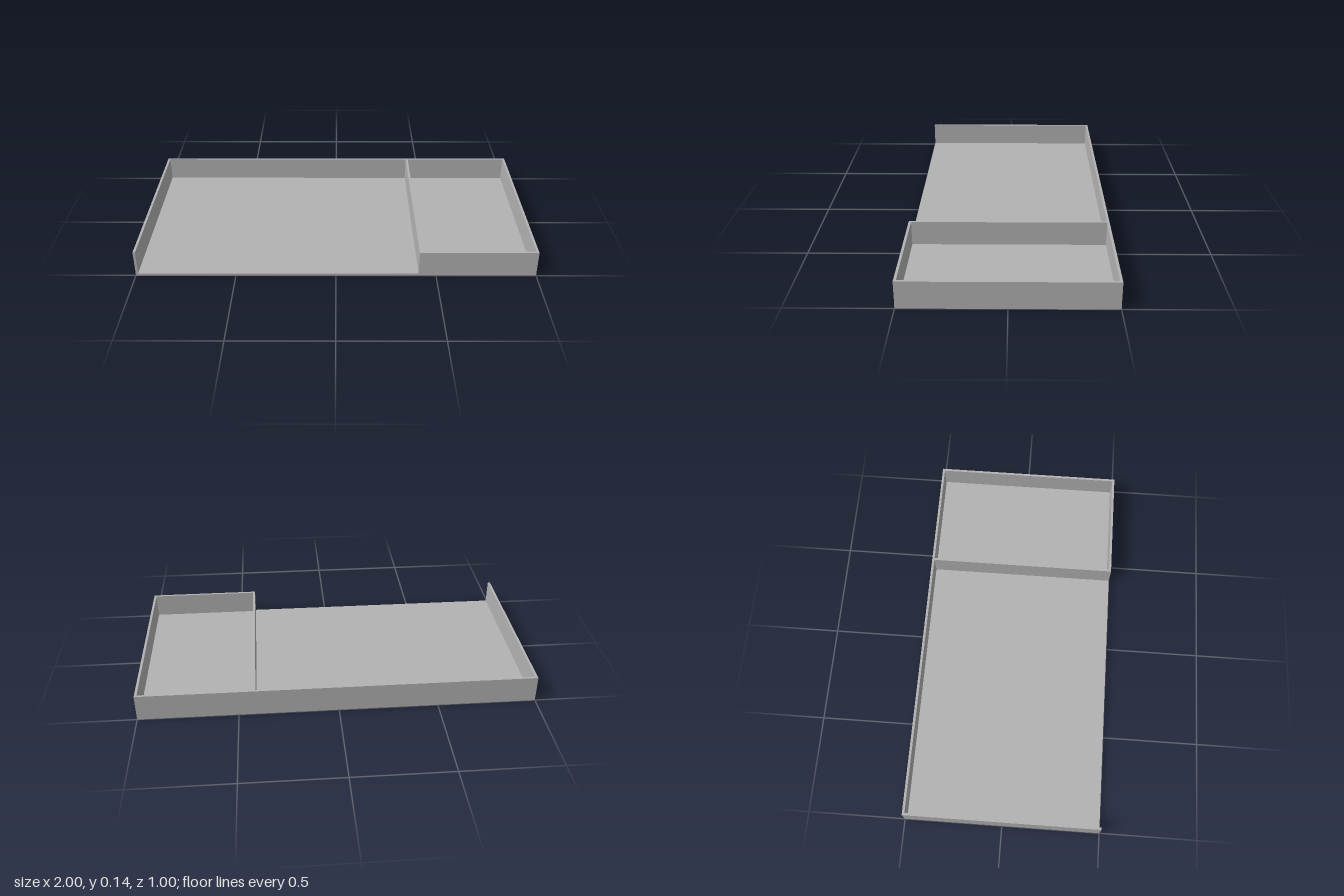
import * as THREE from 'three';

const W = 2, D = 1, H = 0.1375; // overall size
const T = 0.0125;               // panel thickness
const DIVIDER_X = 0.4125;       // right face of the divider

export function createModel() {
  const group = new THREE.Group();
  group.name = 'dividedTray';
  const grey = new THREE.MeshStandardMaterial({ color: 0xb2b2b2 });
  grey.name = 'grey';

  // Box given by its extents along each axis
  const panel = (name, [x0, x1], [y0, y1], [z0, z1]) => {
    const mesh = new THREE.Mesh(new THREE.BoxGeometry(x1 - x0, y1 - y0, z1 - z0), grey);
    mesh.position.set((x0 + x1) / 2, (y0 + y1) / 2, (z0 + z1) / 2);
    mesh.name = name;
    group.add(mesh);
  };

  const x = W / 2, z = D / 2;
  const wallY = [T, H];

  panel('floor', [-x, x], [0, T], [-z, z]);
  panel('backWall', [-x, x], wallY, [-z, -z + T]);

  // Side walls and divider run from the back wall to the front edge
  panel('rightWall', [-x, -x + T], wallY, [-z + T, z]);
  panel('leftWall', [x - T, x], wallY, [-z + T, z]);
  panel('divider', [DIVIDER_X, DIVIDER_X + T], wallY, [-z + T, z]);

  // Only the small compartment is closed at the front
  panel('frontWall', [DIVIDER_X + T, x - T], wallY, [z - T, z]);

  return group;
}
